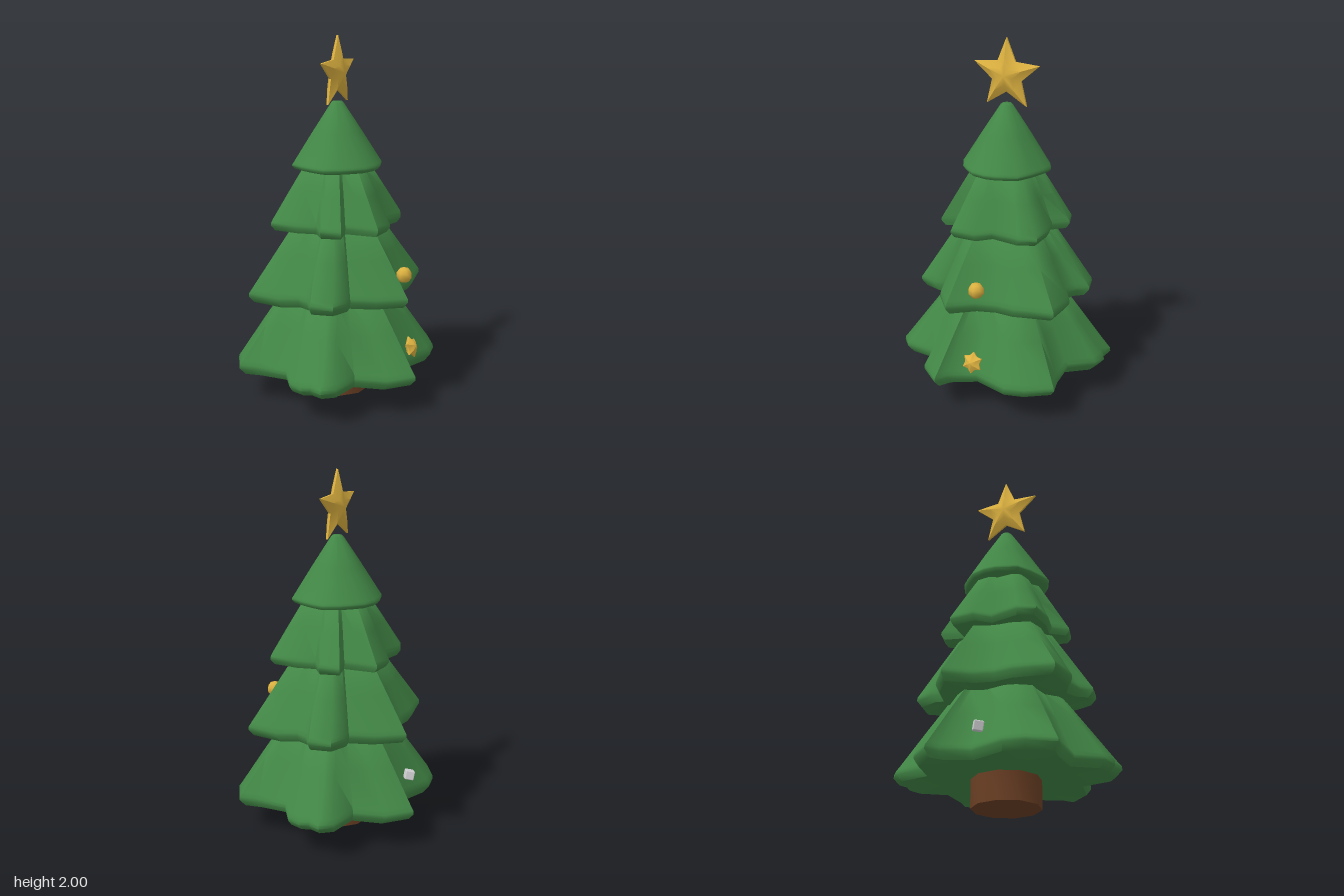
import * as THREE from 'three';
import { toCreasedNormals } from 'three/addons/utils/BufferGeometryUtils.js';
import { RoundedBoxGeometry } from 'three/addons/geometries/RoundedBoxGeometry.js';

const mat = (name, color) => {
  const m = new THREE.MeshStandardMaterial({ color });
  m.name = name;
  return m;
};

// Skins a stack of equal-length rings (arrays of Vector3), lowest first
function loft(rings, crease) {
  const pos = [];
  const n = rings[0].length;
  for (let k = 0; k < rings.length - 1; k++) {
    for (let i = 0; i < n; i++) {
      const j = (i + 1) % n;
      const a = rings[k][i], b = rings[k][j], c = rings[k + 1][j], d = rings[k + 1][i];
      for (const v of [a, d, c, a, c, b]) pos.push(v.x, v.y, v.z);
    }
  }
  const g = new THREE.BufferGeometry();
  g.setAttribute('position', new THREE.Float32BufferAttribute(pos, 3));
  return toCreasedNormals(g, crease);
}

// One layer of branches: half a lobed outline, repeated by a half turn
function tierGeometry({ half, y, top, rim, topScale, round }) {
  const outline = [...half, ...half.map(([x, z]) => [-x, -z])];
  const mean = outline.reduce((s, [x, z]) => s + Math.hypot(x, z), 0) / outline.length;
  const midY = y + rim * 1.6;
  // [scale, height, blend towards a circle]
  const profile = [
    [0, y + rim * 0.15, 0], [0.5, y + rim * 0.15, 0], [0.94, y, 0], [0.998, y + rim * 0.75, 0],
    [0.995, y + rim * 1.15, 0], [0.965, midY, 0],
    [(0.965 + topScale) / 2, (midY + top) / 2, round * 0.5], [topScale, top - 0.008, round],
    [topScale * 0.75, top, round], [0, top, 0],
  ];
  const rings = profile.map(([s, h, blend]) => outline.map(([x, z]) => {
    const k = s * THREE.MathUtils.lerp(1, mean / Math.hypot(x, z), blend);
    return new THREE.Vector3(x * k, h, z * k);
  }));
  return loft(rings, 1);
}

// Puffed star standing in the xy plane
function starGeometry(points, outer, inner, depth) {
  const ring = (s, z) => Array.from({ length: points * 2 }, (_, i) => {
    const a = Math.PI / 2 + (i * Math.PI) / points;
    const r = (i % 2 ? inner : outer) * s;
    return new THREE.Vector3(Math.cos(a) * r, Math.sin(a) * r, z * depth);
  });
  const half = [[0, 1], [0.5, 0.68], [1, 0.12]];
  const rings = [...half, ...half.map(([s, z]) => [s, -z]).reverse()].map(([s, z]) => ring(s, z));
  return loft(rings, 0.8);
}

const TIERS = [
  { name: 'bottomBranches', y: 0.155, top: 0.61, rim: 0.05, topScale: 0.53, round: 0.3,
    half: [[.04, -.58], [.12, -.595], [.17, -.545], [.22, -.54], [.28, -.48], [.3, -.32], [.46, -.24], [.555, -.21],
      [.565, -.05], [.53, .06], [.37, .2], [.365, .36], [.4, .43], [.24, .485], [.07, .44]] },
  { name: 'lowerBranches', y: 0.575, top: 0.99, rim: 0.048, topScale: 0.53, round: 0.3,
    half: [[-.035, -.41], [.05, -.485], [.17, -.45], [.18, -.38], [.23, -.32], [.34, -.315], [.495, -.21],
      [.46, -.1], [.43, 0], [.37, .09], [.34, .2], [.36, .36], [.19, .385], [.05, .36]] },
  { name: 'upperBranches', y: 0.96, top: 1.3, rim: 0.038, topScale: 0.53, round: 0.3,
    half: [[0, -.365], [.11, -.34], [.13, -.24], [.24, -.21], [.37, -.13], [.36, -.03], [.25, .1],
      [.275, .2], [.2, .32], [.11, .28], [.03, .245]] },
  { name: 'topBranches', y: 1.285, top: 1.65, rim: 0.022, topScale: 0.14, round: 0.4,
    half: [[0, -.24], [.09, -.235], [.14, -.19], [.2, -.12], [.25, -.04], [.23, .08], [.2, .14], [.14, .2], [.07, .225]] },
];

export function createModel() {
  const green = mat('needle green', 0x428746);
  const brown = mat('bark brown', 0x6b3f24);
  const gold = mat('gold', 0xdcb140);
  const silver = mat('silver', 0xd4d4d8);

  const tree = new THREE.Group();
  tree.name = 'decoratedTree';
  const add = (name, geometry, material, x = 0, y = 0, z = 0) => {
    const m = new THREE.Mesh(geometry, material);
    m.name = name;
    m.position.set(x, y, z);
    tree.add(m);
    return m;
  };

  // Trunk with a slightly eased foot
  const trunkProfile = [[0, 0], [0.15, 0], [0.188, 0.006], [0.188, 0.2], [0, 0.2]];
  const trunk = new THREE.LatheGeometry(trunkProfile.map(([r, h]) => new THREE.Vector2(r, h)), 10);
  add('trunk', toCreasedNormals(trunk, 0.8), brown);

  // Branch layers
  for (const t of TIERS) add(t.name, tierGeometry(t), green);

  // Star on top, turned across the tree
  add('topStar', starGeometry(5, 0.2, 0.09, 0.046), gold, 0, 1.803, 0).rotation.y = Math.PI / 3;

  // Small ornaments
  add('ballOrnament', new THREE.SphereGeometry(0.045, 7, 5), gold, 0.357, 0.715, 0.193);
  add('starOrnament', starGeometry(6, 0.06, 0.042, 0.034), gold, 0.4, 0.305, 0.22).lookAt(1.2, 0.62, 0.68);
  add('boxOrnament', new RoundedBoxGeometry(0.052, 0.052, 0.052, 1, 0.006), silver, -0.4, 0.315, -0.168)
    .rotation.set(0.12, 0.08, 0.2);

  return tree;
}
